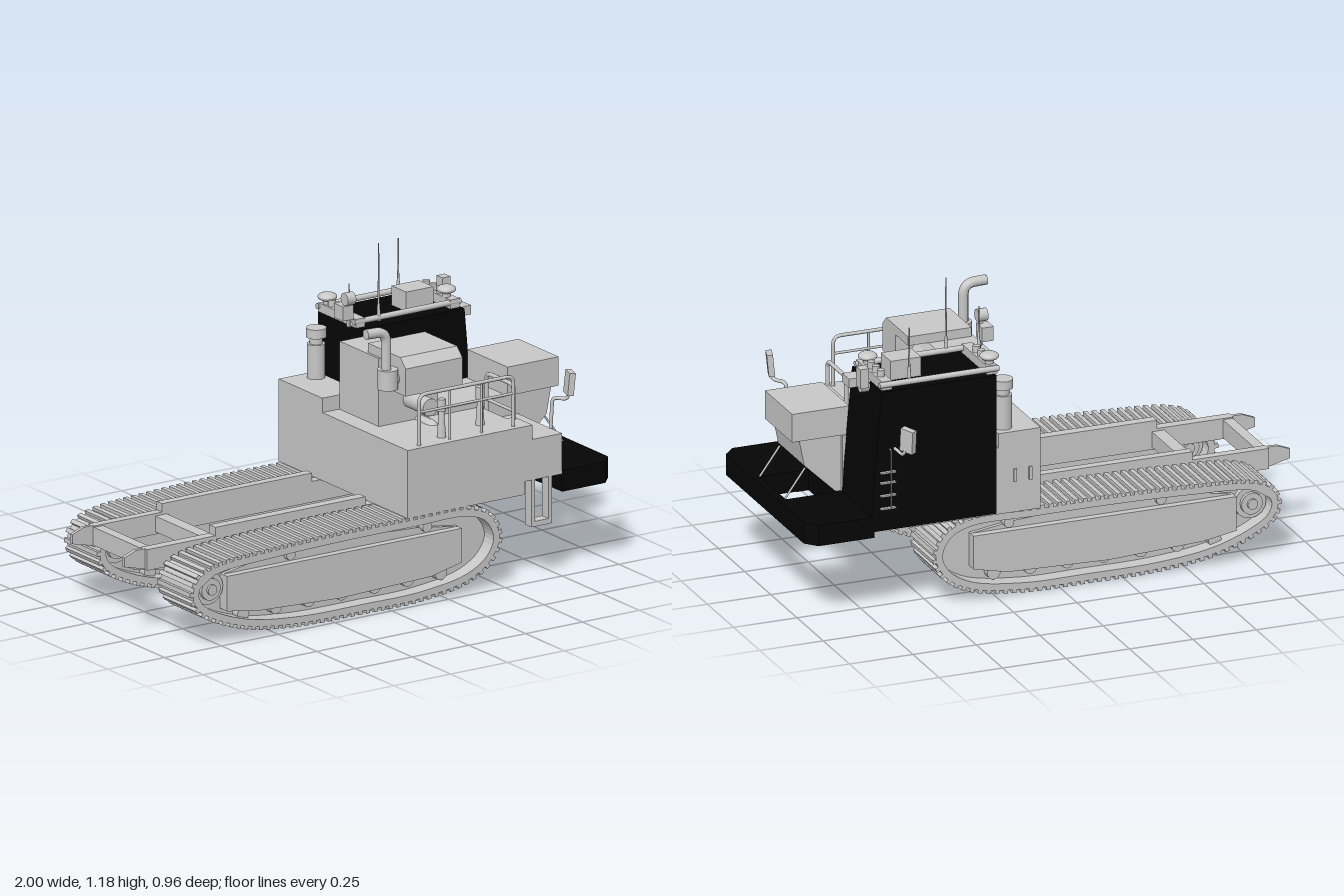
import * as THREE from 'three';

export function createModel() {
  const model = new THREE.Group();
  const grey = new THREE.MeshStandardMaterial({ color: 0xc8c8c8 });
  grey.name = 'machine grey';
  const black = new THREE.MeshStandardMaterial({ color: 0x050505 });
  black.name = 'cab black';

  const add = (name, geo, mat = grey, parent = model) => {
    const m = new THREE.Mesh(geo, mat);
    m.name = name;
    parent.add(m);
    return m;
  };
  // Box given by its limits on each axis
  const box = (name, x0, x1, y0, y1, z0, z1, mat, parent) => {
    const m = add(name, new THREE.BoxGeometry(x1 - x0, y1 - y0, z1 - z0), mat, parent);
    m.position.set((x0 + x1) / 2, (y0 + y1) / 2, (z0 + z1) / 2);
    return m;
  };
  const toShape = (pts) => new THREE.Shape(pts.map(([x, y]) => new THREE.Vector2(x, y)));
  // Side profile (x, y) extruded from z0 to z1
  const profile = (name, pts, z0, z1, mat, parent, hole) => {
    const s = toShape(pts);
    if (hole) s.holes.push(new THREE.Path(hole.map(([x, y]) => new THREE.Vector2(x, y))));
    const g = new THREE.ExtrudeGeometry(s, { depth: z1 - z0, bevelEnabled: false });
    return add(name, g.translate(0, 0, z0), mat, parent);
  };
  // Rod between two points
  const rod = (name, a, b, r, r2 = r, parent = model) => {
    const p = new THREE.Vector3(...a), q = new THREE.Vector3(...b), d = q.clone().sub(p);
    const m = add(name, new THREE.CylinderGeometry(r2, r, d.length(), 16), grey, parent);
    m.position.copy(p).add(q).multiplyScalar(0.5);
    m.quaternion.setFromUnitVectors(new THREE.Vector3(0, 1, 0), d.normalize());
    return m;
  };
  // Bent pipe with rounded corners
  const pipe = (name, pts, r, bend = 0.03) => {
    const v = pts.map((p) => new THREE.Vector3(...p)), path = new THREE.CurvePath();
    let last = v[0];
    for (let i = 1; i < v.length - 1; i++) {
      const a = v[i].clone().add(v[i - 1].clone().sub(v[i]).setLength(bend));
      const b = v[i].clone().add(v[i + 1].clone().sub(v[i]).setLength(bend));
      path.add(new THREE.LineCurve3(last, a));
      path.add(new THREE.QuadraticBezierCurve3(a, v[i], b));
      last = b;
    }
    path.add(new THREE.LineCurve3(last, v[v.length - 1]));
    add(name, new THREE.TubeGeometry(path, 48, r, 10));
    [0, 1].forEach((t) => {
      const p = path.getPoint(t), d = path.getTangent(t).multiplyScalar(0.002);
      rod(name + 'End', p.clone().sub(d).toArray(), p.clone().add(d).toArray(), r);
    });
  };

  // Crawler tracks
  const loop = new THREE.CatmullRomCurve3([
    [-0.86, 0.205], [-0.83, 0.265], [-0.75, 0.295], [-0.5, 0.312], [-0.2, 0.32], [0.1, 0.32],
    [0.36, 0.316], [0.45, 0.275], [0.49, 0.19], [0.455, 0.11], [0.36, 0.05], [0.15, 0.015],
    [-0.1, 0.012], [-0.4, 0.016], [-0.62, 0.045], [-0.78, 0.105], [-0.84, 0.15],
  ].map(([x, y]) => new THREE.Vector3(x, y, 0)), true, 'centripetal');
  const inset = (d, n) => Array.from({ length: n }, (_, i) => {
    const p = loop.getPointAt(i / n), t = loop.getTangentAt(i / n);
    return [p.x + t.y * d, p.y - t.x * d];
  });
  const shoes = 88;
  const makeTrack = (name, z0, z1) => {
    const g = new THREE.Group();
    g.name = name;
    model.add(g);
    const mid = (z0 + z1) / 2;
    profile('trackBelt', inset(0, 120), z0, z1, grey, g, inset(0.026, 120).reverse());
    profile('trackWeb', inset(0.02, 80), z0 + 0.06, z1 - 0.06, grey, g);
    for (let i = 0; i < shoes; i++) {
      const p = loop.getPointAt(i / shoes), t = loop.getTangentAt(i / shoes);
      const s = add('trackShoe', new THREE.BoxGeometry(0.017, 0.013, z1 - z0), grey, g);
      s.position.set(p.x - t.y * 0.006, p.y + t.x * 0.006, mid);
      s.rotation.z = Math.atan2(t.y, t.x);
    }
    profile('trackFrameTop', [[-0.7, 0.245], [-0.55, 0.272], [-0.2, 0.287], [0.15, 0.272], [0.335, 0.245],
      [0.335, 0.13], [-0.7, 0.13]], z0 + 0.045, z1 - 0.045, grey, g);
    profile('trackFrame', [[-0.7, 0.245], [0.335, 0.245], [0.335, 0.115], [0.2, 0.085], [-0.2, 0.073],
      [-0.57, 0.09], [-0.7, 0.112]], z0 + 0.015, z1 - 0.015, grey, g);
    const wheel = (n, x, y, r, w) => rod(n, [x, y, mid - w], [x, y, mid + w], r, r, g);
    wheel('idlerWheel', -0.765, 0.205, 0.062, 0.07);
    wheel('idlerHub', -0.765, 0.205, 0.042, 0.085);
    wheel('idlerAxle', -0.765, 0.205, 0.02, 0.095);
    for (let i = 0; i < 7; i++) wheel('roller', -0.62 + i * 0.145, 0.085, 0.026, 0.08);
    for (const x of [-0.41, 0.19]) wheel('carrierRoller', x, 0.272, 0.02, 0.08);
  };
  makeTrack('leftTrack', 0.265, 0.478);
  makeTrack('rightTrack', -0.34, -0.125);

  // Undercarriage frame
  const rails = [[-0.125, -0.09, -0.112, -0.098], [0.215, 0.255, 0.225, 0.24]];
  for (const [z0, z1, t0, t1] of rails) {
    box('frameRail', -0.91, 0.46, 0.25, 0.33, z0, z1);
    box('railRib', -0.61, 0.05, 0.33, 0.362, z0, z1);
    profile('railTip', [[-1, 0.275], [-0.9, 0.25], [-0.9, 0.33], [-0.95, 0.33], [-1, 0.31]], t0, t1);
  }
  box('endCrossbar', -0.91, -0.87, 0.255, 0.325, -0.1, 0.22);
  box('middleCrossbar', -0.64, -0.59, 0.26, 0.32, -0.1, 0.22);
  box('carBody', 0.28, 0.46, 0.18, 0.33, -0.122, 0.262);
  profile('frontSubframe', [[0.4, 0.25], [0.71, 0.25], [0.71, 0.31], [0.76, 0.32], [0.76, 0.39], [0.4, 0.39]],
    -0.122, 0.262);

  // Step ladder under the left side
  for (const x of [0.63, 0.705]) box('stepSide', x, x + 0.015, 0.2, 0.385, 0.435, 0.478);
  box('stepTread', 0.63, 0.72, 0.2, 0.22, 0.435, 0.478);

  // Upper house
  box('house', 0.085, 0.6, 0.33, 0.59, -0.358, 0.478);
  box('rearStep', 0.085, 0.25, 0.59, 0.645, -0.358, -0.075);
  box('frontLeftLocker', 0.6, 0.765, 0.38, 0.535, 0.19, 0.478);
  box('lockerLip', 0.6, 0.635, 0.535, 0.59, 0.36, 0.478);
  box('centreDeck', 0.42, 0.75, 0.36, 0.61, -0.08, 0.19);
  for (const x of [0.12, 0.18]) box('sideLatch', x, x + 0.012, 0.45, 0.5, -0.365, -0.358);
  pipe('lockerHandle', [[0.73, 0.42, 0.415], [0.785, 0.42, 0.415], [0.785, 0.46, 0.415], [0.73, 0.46, 0.415]], 0.006, 0.01);

  // Engine and silencer housing
  profile('engineCover', [[0.16, 0.59], [0.42, 0.59], [0.42, 0.725], [0.395, 0.775], [0.355, 0.82], [0.34, 0.85],
    [0.16, 0.85]], -0.073, 0.18);
  const housing = new THREE.ExtrudeGeometry(toShape([[0.095, 0.85], [0.215, 0.85], [0.215, 0.745], [0.34, 0.745],
    [0.34, 0.85], [0.305, 0.885], [0.095, 0.885]]), { depth: 0.25, bevelEnabled: false });
  add('silencerHousing', housing.rotateY(-Math.PI / 2).translate(0.42, 0, 0));
  rod('intakeDrum', [0.3, 0.672, 0.17], [0.3, 0.672, 0.31], 0.033);
  pipe('intakeElbow', [[0.34, 0.58, 0.17], [0.34, 0.58, 0.28], [0.34, 0.52, 0.28]], 0.025, 0.04);
  rod('exhaustDrum', [0.135, 0.765, 0.275], [0.135, 0.84, 0.275], 0.038);
  rod('exhaustJoint', [0.13, 0.8, 0.275], [0.19, 0.8, 0.275], 0.025);
  pipe('exhaustPipe', [[0.128, 0.82, 0.275], [0.128, 0.985, 0.275], [0.04, 0.988, 0.275]], 0.019, 0.045);
  rod('airCleaner', [0.21, 0.64, -0.3], [0.21, 0.775, -0.3], 0.034);
  rod('airCleanerNeck', [0.21, 0.775, -0.3], [0.21, 0.8, -0.3], 0.024);
  rod('airCleanerCap', [0.21, 0.8, -0.3], [0.21, 0.835, -0.3], 0.038);

  // Front hood with struts
  box('hoodLid', 0.72, 0.945, 0.61, 0.72, -0.07, 0.19);
  profile('hoodBase', [[0.72, 0.61], [0.915, 0.61], [0.895, 0.51], [0.77, 0.39], [0.72, 0.39]], -0.065, 0.185);
  for (const z of [-0.06, 0.18]) rod('hoodStrut', [0.89, 0.5, z], [0.97, 0.39, z], 0.004);

  // Front platform with opening
  const deck = toShape([[0.765, -0.478], [0.955, -0.478], [1, -0.43], [1, 0.315], [0.96, 0.36], [0.74, 0.36]]);
  deck.holes.push(new THREE.Path([[0.78, -0.175], [0.78, 0.07], [0.97, 0.07], [0.97, -0.175]]
    .map(([x, y]) => new THREE.Vector2(x, y))));
  const deckGeo = new THREE.ExtrudeGeometry(deck, { depth: 0.08, bevelEnabled: false });
  add('frontPlatform', deckGeo.rotateX(-Math.PI / 2).translate(0, 0.312, 0), black);

  // Cab and roof frame
  profile('cab', [[0.26, 0.335], [0.755, 0.335], [0.745, 0.5], [0.712, 0.876], [0.26, 0.876]], -0.361, -0.077, black);
  for (const z of [-0.345, -0.11]) rod('roofRail', [0.245, 0.897, z], [0.715, 0.897, z], 0.011);
  for (const x of [0.27, 0.685]) {
    box('roofCrossbar', x - 0.02, x + 0.02, 0.876, 0.91, -0.345, -0.1);
    for (let i = 0; i < 3; i++) {
      const z = -0.285 + i * 0.045;
      rod('roofLight', [x, 0.91, z], [x, 0.935, z], 0.014);
    }
  }
  for (const [x, z] of [[0.27, -0.315], [0.68, -0.148]]) {
    rod('beaconStem', [x, 0.9, z], [x, 0.93, z], 0.016);
    const dome = add('beaconDome', new THREE.SphereGeometry(0.036, 20, 12));
    dome.scale.y = 0.45;
    dome.position.set(x, 0.938, z);
  }
  box('roofUnit', 0.515, 0.635, 0.876, 0.95, -0.26, -0.165);
  const antennas = [[0.355, 1.18, -0.108], [0.59, 1.1, -0.327], [0.225, 1.05, -0.108]];
  for (const [x, top, z] of antennas) {
    rod('antennaBase', [x, 0.885, z], [x, 0.95, z], 0.008, 0.005);
    rod('antenna', [x, 0.95, z], [x, top, z], 0.004, 0.002);
  }
  // Lamps around the cab roof
  rod('lampStalk', [0.215, 0.89, -0.1], [0.205, 1.0, -0.085], 0.006);
  rod('roundLamp', [0.185, 1.003, -0.08], [0.222, 1.003, -0.08], 0.024);
  box('rearLamp', 0.18, 0.225, 0.92, 0.975, -0.14, -0.08);
  box('frontLampHigh', 0.73, 0.765, 0.87, 0.945, -0.285, -0.245);
  box('frontLampLow', 0.715, 0.765, 0.835, 0.87, -0.178, -0.112);
  rod('frontRoundLamp', [0.705, 0.857, -0.23], [0.745, 0.857, -0.23], 0.022);

  // Handrails
  pipe('sideHandrail', [[0.155, 0.59, 0.448], [0.155, 0.782, 0.448], [0.57, 0.782, 0.448], [0.57, 0.59, 0.448]], 0.007);
  rod('sideMidRail', [0.155, 0.715, 0.448], [0.57, 0.715, 0.448], 0.005);
  for (const x of [0.29, 0.43]) rod('railPost', [x, 0.59, 0.448], [x, 0.782, 0.448], 0.005);
  pipe('frontHandrail', [[0.62, 0.53, 0.38], [0.62, 0.72, 0.38], [0.62, 0.72, 0.2], [0.62, 0.53, 0.2]], 0.008);
  rod('frontMidRail', [0.62, 0.62, 0.38], [0.62, 0.62, 0.2], 0.006);
  for (const [x, z] of [[0.48, 0.365], [0.28, 0.41]]) {
    rod('deckPost', [x, 0.59, z], [x, 0.69, z], 0.017, 0.01);
    rod('deckPostTop', [x, 0.69, z], [x, 0.735, z], 0.016);
  }
  for (const y of [0.42, 0.47, 0.52, 0.56]) box('cabStep', 0.66, 0.72, y, y + 0.006, -0.374, -0.361);
  pipe('cabGrabBar', [[0.68, 0.42, -0.36], [0.68, 0.42, -0.373], [0.68, 0.65, -0.373], [0.68, 0.65, -0.36]], 0.003, 0.006);

  // Mirrors
  pipe('rightMirrorArm', [[0.66, 0.65, -0.36], [0.66, 0.65, -0.44], [0.645, 0.7, -0.45]], 0.006, 0.02);
  const right = box('rightMirror', 0.632, 0.656, 0.665, 0.755, -0.477, -0.42);
  right.rotation.set(-0.1, 0.5, 0);
  pipe('leftMirrorArm', [[0.765, 0.5, 0.4], [0.775, 0.65, 0.4], [0.81, 0.65, 0.45], [0.815, 0.71, 0.45]], 0.007, 0.02);
  const left = box('leftMirror', 0.805, 0.828, 0.67, 0.755, 0.422, 0.478);
  left.rotation.set(0, -0.3, -0.1);

  return model;
}
